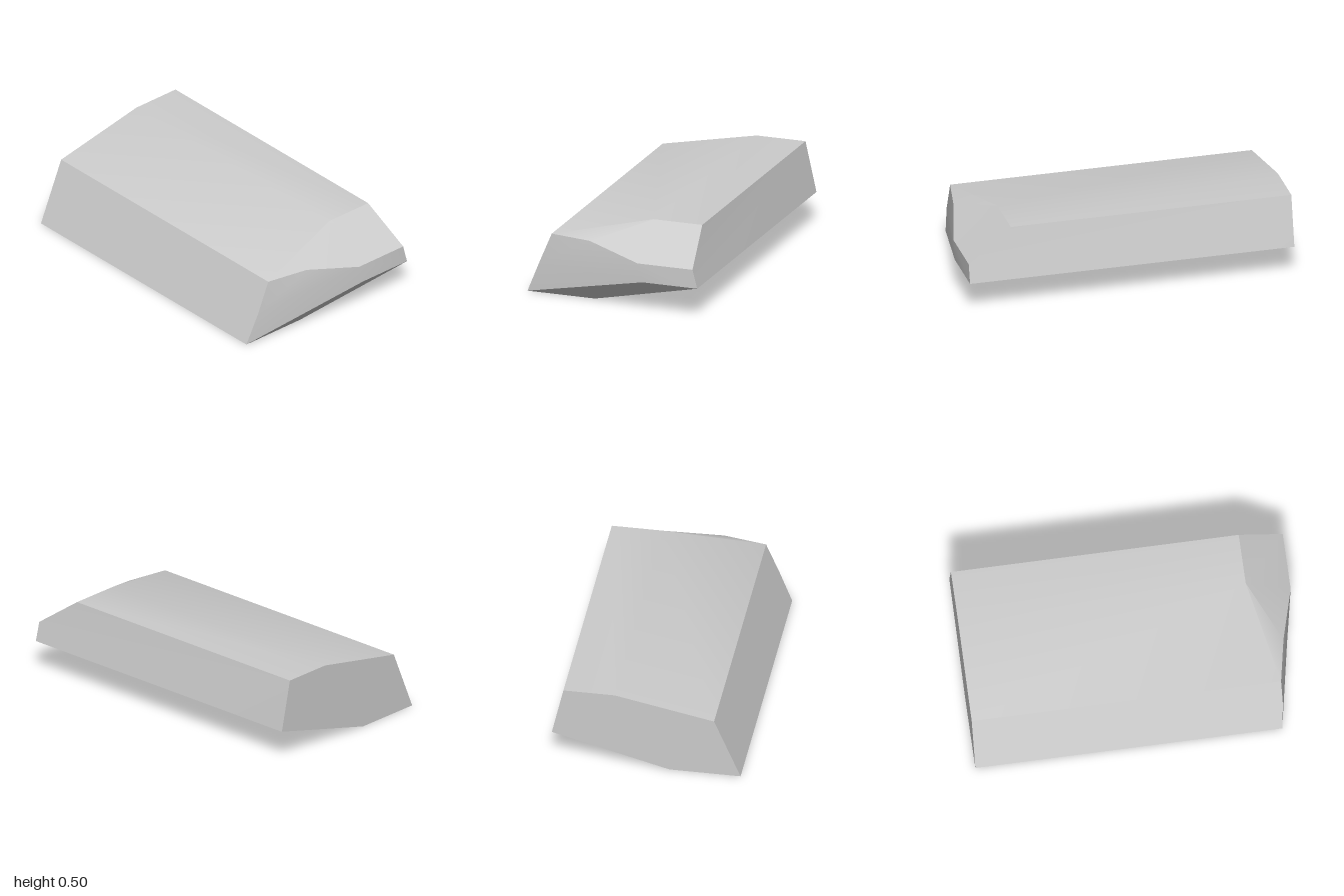
import * as THREE from 'three';
import { toCreasedNormals } from 'three/addons/utils/BufferGeometryUtils.js';

// Convex block: flat section on the left of the frame, bevelled end at +x.
export function createModel() {
  const group = new THREE.Group();
  group.name = 'bevelledBlock';
  const grey = new THREE.MeshStandardMaterial({ color: 0xcccccc });
  grey.name = 'plain grey';

  // Corners of the flat end, from bottom front around to bottom back
  const section = [[0, 0.57], [0.38, 0.41], [0.5, -0.19], [0.5, -0.5], [0.19, -0.57], [0, 0.14]];
  const flat = section.map(([y, z]) => [-1, y, z]);
  // The same corners where the long faces meet the bevelled end
  const endX = [0.845, 0.86, 0.73, 0.73, 1, 0.845];
  const end = section.map(([y, z], i) => [endX[i], y, z]);
  // Extra corners of the bevelled end
  const frontMid = [0.86, 0.19, 0.49];
  const shoulder = [0.91, 0.38, 0.15];
  const tipFront = [1, 0.305, -0.19];
  const tipBack = [1, 0.305, -0.54];
  const tipLow = [1, 0.19, -0.22];

  const faces = [
    flat,
    // Long faces: front, top slope, top, back, underside slope, base
    [flat[0], end[0], frontMid, end[1], flat[1]],
    [flat[1], end[1], end[2], flat[2]],
    [flat[2], end[2], end[3], flat[3]],
    [flat[3], end[3], tipBack, end[4], flat[4]],
    [flat[4], end[4], end[5], flat[5]],
    [flat[5], end[5], end[0], flat[0]],
    // Upper bevel
    [end[2], end[1], shoulder],
    [end[2], shoulder, tipFront],
    [end[2], tipFront, tipBack, end[3]],
    // End wall
    [frontMid, end[1], shoulder, tipFront, tipLow, end[0]],
    [tipFront, tipBack, end[4], tipLow],
    // Lower bevel
    [end[0], end[5], end[4], tipLow],
  ];

  // Fan each face, turning every triangle outward from the block's middle
  const middle = new THREE.Vector3(0, 0.25, 0);
  const points = [];
  for (const face of faces) {
    for (let i = 1; i < face.length - 1; i++) {
      const [a, b, c] = [face[0], face[i], face[i + 1]].map((p) => new THREE.Vector3(...p));
      const normal = b.clone().sub(a).cross(c.clone().sub(a));
      const outward = normal.dot(a.clone().sub(middle)) > 0;
      points.push(...(outward ? [a, b, c] : [a, c, b]));
    }
  }
  const geometry = new THREE.BufferGeometry().setFromPoints(points);
  const block = new THREE.Mesh(toCreasedNormals(geometry, Math.PI / 6), grey);
  block.name = 'block';
  group.add(block);
  return group;
}
